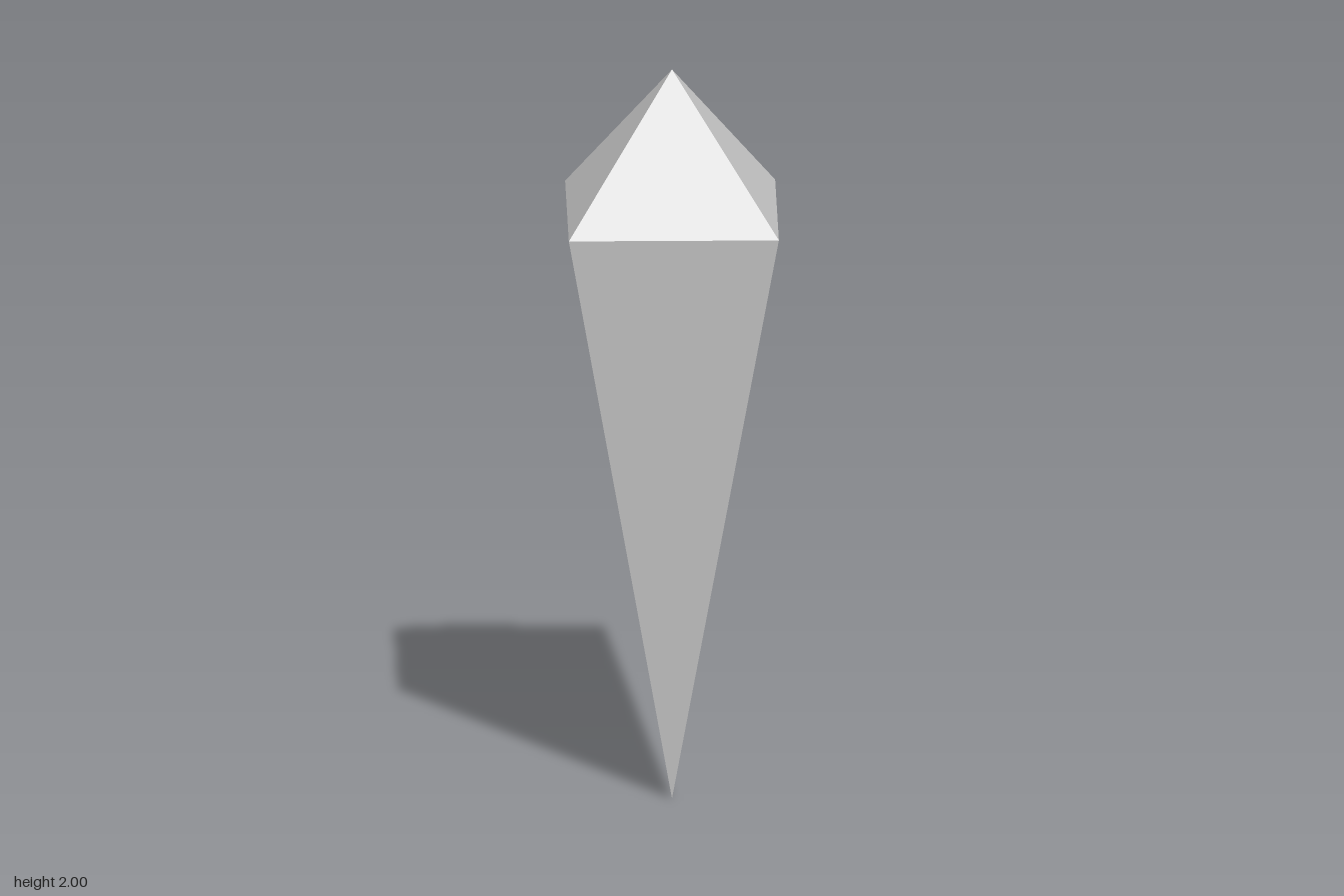
import * as THREE from 'three';

const RADIUS = 0.39;   // half width at the girdle
const GIRDLE = 1.613;  // height of the widest ring
const HEIGHT = 2;

export function createModel() {
  const model = new THREE.Group();
  model.name = 'crystal';
  const material = new THREE.MeshStandardMaterial({ color: 0xcccccc, flatShading: true });

  // Four-sided open pyramid with its corners on the x and z axes
  function addPyramid(name, radiusTop, radiusBottom, y0, y1) {
    const geometry = new THREE.CylinderGeometry(radiusTop, radiusBottom, y1 - y0, 4, 1, true);
    const mesh = new THREE.Mesh(geometry, material);
    mesh.name = name;
    mesh.position.y = (y0 + y1) / 2;
    model.add(mesh);
  }

  // Short cap above the girdle, long point below it
  addPyramid('crystalCap', 0, RADIUS, GIRDLE, HEIGHT);
  addPyramid('crystalPoint', RADIUS, 0, 0, GIRDLE);

  return model;
}
